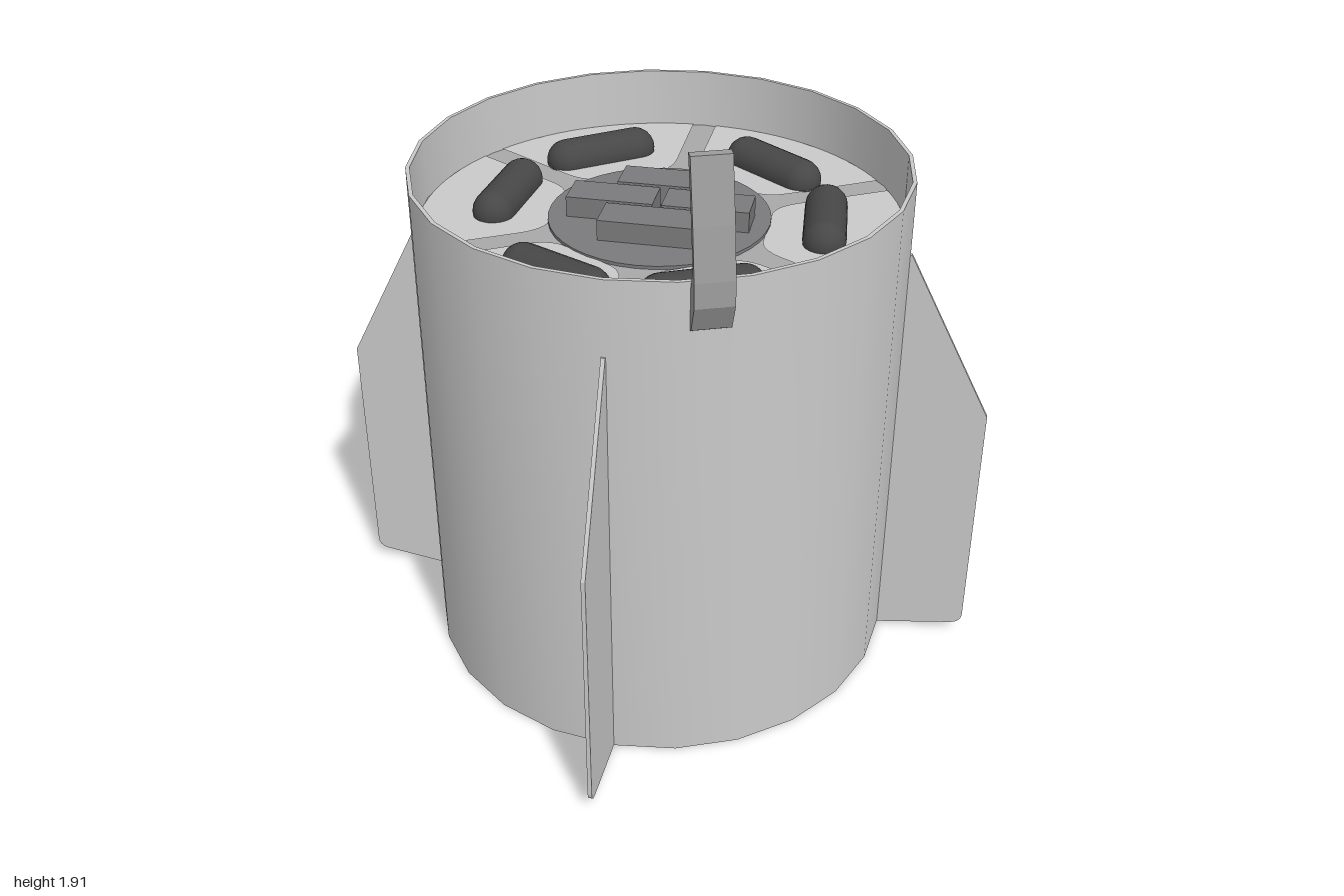
import * as THREE from 'three';
import { toCreasedNormals, mergeGeometries } from 'three/addons/utils/BufferGeometryUtils.js';

const R = 0.73, SIDES = 24, FLOOR = 1.4;
const RAD = Math.PI / 180;

const material = (name, color, side = THREE.FrontSide) => {
  const m = new THREE.MeshStandardMaterial({ color, side });
  m.name = name;
  return m;
};

// Bends a flat geometry (x = arc length, y = height) onto the many-sided hull.
// Angle 0 is +x and grows towards the back (-z).
function wrap(geo, degrees, y0, offset) {
  const p = geo.attributes.position, n = geo.attributes.normal;
  const step = 2 * Math.PI / SIDES;
  for (let i = 0; i < p.count; i++) {
    const a = degrees * RAD + p.getX(i) / R;
    const local = a - Math.floor(a / step + 1e-6) * step - step / 2;
    const r = R * Math.cos(step / 2) / Math.cos(local) + offset;
    p.setXYZ(i, r * Math.cos(a), p.getY(i) + y0, -r * Math.sin(a));
    n.setXYZ(i, Math.cos(a), 0, -Math.sin(a));
  }
  return geo;
}

// Curved rectangle between two angles and two heights
function band(a0, a1, y0, y1, step, offset) {
  const geo = new THREE.PlaneGeometry((a1 - a0) * RAD * R, y1 - y0, Math.round((a1 - a0) / step), 1);
  return wrap(geo, (a0 + a1) / 2, (y0 + y1) / 2, offset);
}

const shapeOf = pts => new THREE.Shape(pts.map(([x, y]) => new THREE.Vector2(x, y)));

export function createModel() {
  const model = new THREE.Group();
  const hullGrey = material('light grey', 0xcacaca);
  const ribGrey = material('rib grey', 0xa9a9a9);
  const deckGrey = material('deck grey', 0x7b7b7d);
  const tankGrey = material('tank charcoal', 0x474747);
  const solarBlue = material('solar blue', 0x1f2d35);
  const bracketGrey = material('bracket grey', 0x9c9c9c);

  const add = (name, geo, mat, parent = model) => {
    const mesh = new THREE.Mesh(geo, mat);
    mesh.name = name;
    parent.add(mesh);
    return mesh;
  };

  // Hollow hull tube
  const wall = [[R, 0], [R, 1.585], [R - 0.012, 1.585], [R - 0.012, 0], [R, 0]];
  const tube = new THREE.LatheGeometry(wall.map(([x, y]) => new THREE.Vector2(x, y)), SIDES);
  add('hull', toCreasedNormals(tube, 0.6), hullGrey);

  // Floor plate inside the top, its base colour forming the ribs
  const floor = new THREE.CylinderGeometry(R - 0.008, R - 0.008, 0.03, SIDES);
  floor.translate(0, FLOOR - 0.015, 0);
  add('floor', floor, ribGrey);

  // Six light floor panels between the ribs
  const edge = (t, s) => [t * Math.cos(30 * RAD) + 0.0175, s * (t * 0.5 - 0.0303)];
  const sector = new THREE.Shape();
  sector.moveTo(...edge(0.69, -1));
  sector.absarc(0, 0, 0.712, -27 * RAD, 27 * RAD, false);
  sector.lineTo(...edge(0.42, 1));
  sector.quadraticCurveTo(...edge(0.34, 1), 0.315, 0.08);
  sector.lineTo(0.315, -0.08);
  sector.quadraticCurveTo(...edge(0.34, -1), ...edge(0.42, -1));
  for (let i = 0; i < 6; i++) {
    const geo = new THREE.ShapeGeometry(sector, 8);
    geo.rotateX(-Math.PI / 2).rotateY(i * Math.PI / 3).translate(0, FLOOR + 0.004, 0);
    add('floorPanel', geo, hullGrey);
  }

  // Central deck with four equipment boxes
  const deck = new THREE.CylinderGeometry(0.328, 0.328, 0.012, 40);
  add('deck', deck.translate(-0.007, FLOOR + 0.004, -0.012), deckGrey);
  for (const [x, z, w] of [[0, -0.135, 0.295], [-0.143, -0.002, 0.257], [0.14, -0.002, 0.257], [0, 0.13, 0.295]]) {
    add('equipmentBox', new THREE.BoxGeometry(w, 0.065, 0.118).translate(x, FLOOR + 0.04, z), deckGrey);
  }

  // Six rounded tanks, mirrored left and right: x, z, heading in degrees
  for (const s of [-1, 1]) {
    for (const [x, z, turn] of [[0.275, -0.395, -36], [0.477, -0.043, -85], [0.203, 0.432, 25]]) {
      const tank = add('tank', new THREE.CapsuleGeometry(0.063, 0.23, 8, 20).rotateZ(Math.PI / 2), tankGrey);
      tank.position.set(s * x, FLOOR + 0.015, z);
      tank.rotation.y = s * turn * RAD;
    }
  }

  // Four fins
  const fin = new THREE.Shape();
  fin.moveTo(0.715, 0);
  fin.lineTo(0.75, 0.003);
  fin.lineTo(0.965, 0.036);
  fin.quadraticCurveTo(1, 0.042, 1, 0.075);
  fin.lineTo(1, 0.84);
  fin.lineTo(0.735, 1.36);
  fin.lineTo(0.715, 1.36);
  for (let i = 0; i < 4; i++) {
    const geo = new THREE.ExtrudeGeometry(fin, { depth: 0.012, bevelEnabled: false, curveSegments: 5 });
    geo.translate(0, 0, -0.006).rotateY(i * Math.PI / 2);
    add('fin', geo, hullGrey);
  }

  // Solar cells on the rear faces of the two side fins
  for (const s of [-1, 1]) {
    const group = new THREE.Group();
    group.name = 'finSolarPanel';
    model.add(group);
    const outline = [[0.772, 0.065], [0.97, 0.08], [0.97, 0.825], [0.772, 1.215]];
    const pts = outline.map(([x, y]) => [s * x, y]);
    const face = new THREE.ShapeGeometry(shapeOf(pts.map(([x, y]) => [-x, y])));
    add('finCells', face.rotateY(Math.PI).translate(0, 0, -0.008), solarBlue, group);
    const marks = [];
    for (const y of [0.305, 0.565, 0.82, 1.03]) {
      for (const x of [0.81, 0.87, 0.93]) {
        if (y > 1 && x > 0.85) continue;
        marks.push(new THREE.CircleGeometry(0.01, 6).rotateY(Math.PI).translate(s * x, y, -0.01));
      }
    }
    add('finCellMarks', mergeGeometries(marks), hullGrey, group);
  }

  // Wrapped solar cells on the rear half of the hull
  const cells = [
    band(3, 87, 0.055, 1.45, 3, 0.003),
    band(93, 177, 0.055, 1.45, 3, 0.003),
    band(1.5, 178.5, 1.45, 1.575, 1.5, 0.003),
  ];
  add('hullSolarPanel', mergeGeometries(cells), solarBlue);

  // Small gaps between the cells, with crosses along the middle row
  const marks = [];
  for (const start of [0, 90]) {
    for (let c = 0; c < 10; c++) {
      const a = start + 8.6 + c * 8.09;
      for (const y of [0.305, 0.565, 1.07, 1.325]) {
        marks.push(wrap(new THREE.CircleGeometry(1, 6).scale(0.008, 0.016, 1), a, y, 0.006));
      }
      marks.push(wrap(new THREE.CircleGeometry(0.009, 6), a, 1.567, 0.006));
      marks.push(wrap(new THREE.PlaneGeometry(0.04, 0.012, 4, 1), a, 0.82, 0.006));
      marks.push(wrap(new THREE.PlaneGeometry(0.01, 0.036), a, 0.82, 0.0065));
    }
  }
  add('hullCellMarks', mergeGeometries(marks), hullGrey);

  // Two connector patches near the lower edge
  for (const a of [64, 155]) {
    add('connectorPatch', wrap(new THREE.CircleGeometry(0.036, 10), a, 0.055, 0.008), deckGrey);
  }

  // Bent bracket clipped over the front rim
  const bracket = shapeOf([
    [-0.002, 1.44], [0.014, 1.45], [0.05, 1.53], [0.047, 1.6], [0.022, 1.74], [-0.02, 1.91],
    [-0.046, 1.91], [-0.008, 1.78], [0.004, 1.72], [0.028, 1.63], [-0.002, 1.55],
  ]);
  const clip = new THREE.ExtrudeGeometry(bracket, { depth: 0.106, bevelEnabled: false });
  const mesh = add('bracket', clip.translate(0, 0, -0.053), bracketGrey);
  mesh.position.set(0.266, 0, 0.672);
  mesh.rotation.y = -68.4 * RAD;

  return model;
}
